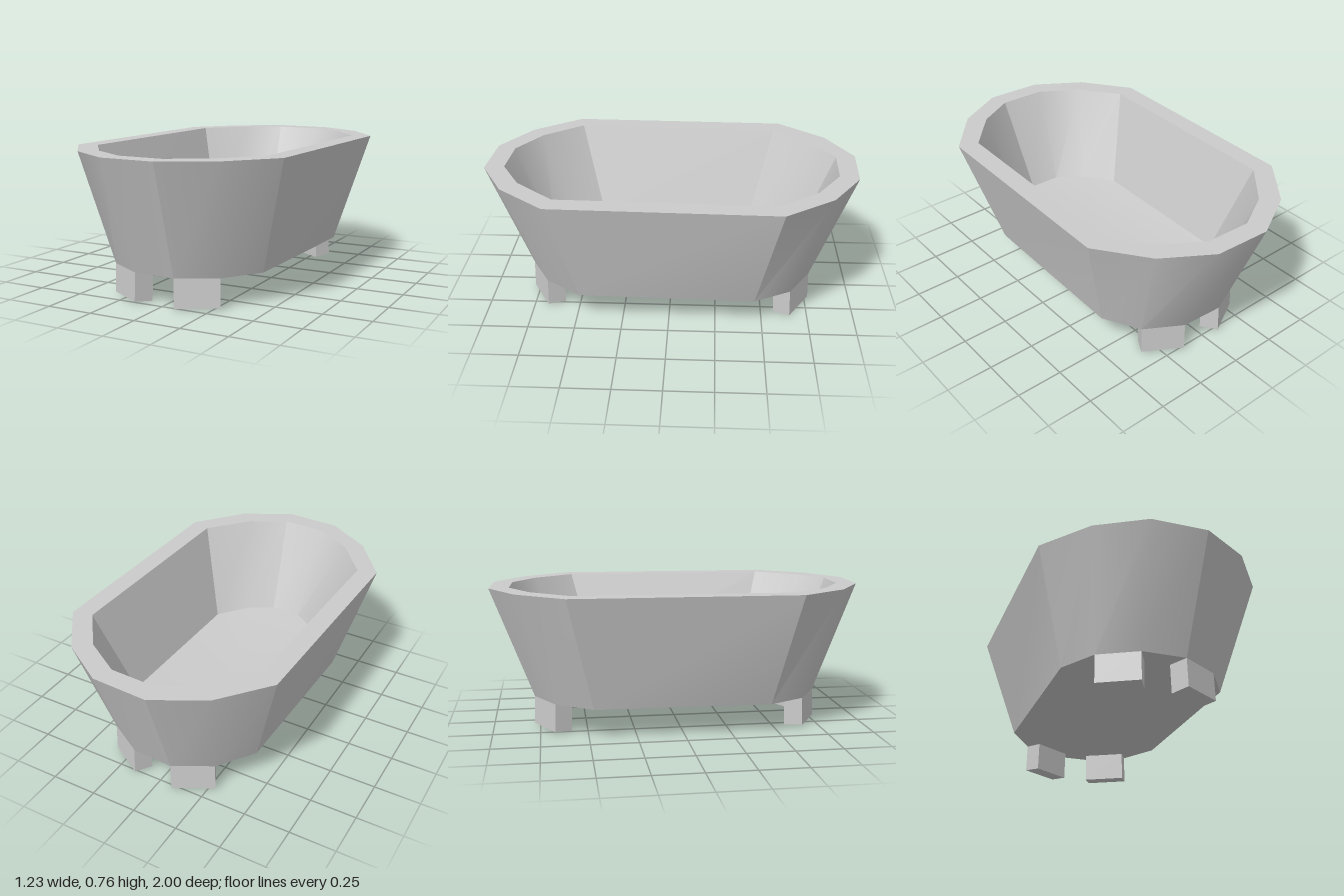
import * as THREE from 'three';
import { toCreasedNormals } from 'three/addons/utils/BufferGeometryUtils.js';

// A ring of 12 points: six [x, z] pairs, then the same six turned half a circle.
function ring(half, y) {
  const points = half.map(([x, z]) => new THREE.Vector3(x, y, z));
  return points.concat(half.map(([x, z]) => new THREE.Vector3(-x, y, -z)));
}

// Joins consecutive rings with quads; a ring with all points equal closes the surface.
function loft(rings, crease) {
  const positions = [];
  const triangle = (a, b, c) => {
    if (a.equals(b) || b.equals(c) || c.equals(a)) return;
    for (const p of [a, b, c]) positions.push(p.x, p.y, p.z);
  };
  for (let k = 0; k < rings.length - 1; k++) {
    const low = rings[k], up = rings[k + 1], n = low.length;
    for (let i = 0; i < n; i++) {
      const j = (i + 1) % n;
      triangle(low[j], low[i], up[i]);
      triangle(low[j], up[i], up[j]);
    }
  }
  const geometry = new THREE.BufferGeometry();
  geometry.setAttribute('position', new THREE.Float32BufferAttribute(positions, 3));
  geometry.computeVertexNormals();
  return toCreasedNormals(geometry, crease);
}

export function createModel() {
  const model = new THREE.Group();
  model.name = 'bathtub';
  const material = new THREE.MeshStandardMaterial({ color: 0xcccccc });
  const add = (name, geometry) => {
    const mesh = new THREE.Mesh(geometry, material);
    mesh.name = name;
    model.add(mesh);
  };

  // Half outlines, running from the front end round the right side to the back
  const rimOuter = [[0.12, 1], [-0.18, 0.985], [-0.425, 0.83], [-0.613, 0.573], [-0.588, -0.61], [-0.38, -0.86]];
  const rimInner = [[0.1, 0.895], [-0.145, 0.885], [-0.345, 0.76], [-0.508, 0.548], [-0.483, -0.577], [-0.3, -0.785]];
  const baseOuter = [[0.085, 0.777], [-0.145, 0.765], [-0.338, 0.65], [-0.443, 0.455], [-0.423, -0.475], [-0.285, -0.668]];
  const baseInner = rimInner.map(([x, z]) => [x * 0.7, z * 0.77]);
  const centre = Array(6).fill([0, 0]);

  // Thick-walled tub: underside, outer wall, rim, inner wall, sagging floor
  add('tub', loft([
    ring(centre, 0.107),
    ring(baseOuter, 0.16),
    ring(rimOuter, 0.757),
    ring(rimInner, 0.757),
    ring(baseInner, 0.255),
    ring(centre, 0.2),
  ], 0.5));

  // Legs drop from the slanted wall panels beside each end, flush with the outside
  const legSpans = {
    frontLeftLeg: [[0.285, 0.668], [0.085, 0.777]],
    frontRightLeg: [[-0.145, 0.765], [-0.338, 0.65]],
    backRightLeg: [[-0.285, -0.668], [-0.085, -0.777]],
    backLeftLeg: [[0.145, -0.765], [0.338, -0.65]],
  };
  for (const [name, [a, b]] of Object.entries(legSpans)) {
    const length = Math.hypot(b[0] - a[0], b[1] - a[1]);
    const inX = -(b[1] - a[1]) / length, inZ = (b[0] - a[0]) / length;
    const sign = inX * a[0] + inZ * a[1] < 0 ? 1 : -1;
    const section = (yOuter, yInner, shift) => {
      const at = ([x, z], depth, y) =>
        new THREE.Vector3(x + sign * inX * depth, y, z + sign * inZ * depth);
      const points = [at(a, shift, yOuter), at(b, shift, yOuter),
        at(b, shift + 0.1, yInner), at(a, shift + 0.1, yInner)];
      // Keep the same turning direction for every leg
      return sign * (inX * inX + inZ * inZ) > 0 && isReversed(points) ? points.reverse()
        : isReversed(points) ? points.reverse() : points;
    };
    const bottom = section(0.01, 0, -0.005);
    const top = section(0.16, 0.155, 0);
    const cap = (points) => {
      const c = new THREE.Vector3();
      points.forEach((p) => c.addScaledVector(p, 0.25));
      return points.map(() => c);
    };
    add(name, loft([cap(bottom), bottom, top, cap(top)], 0.3));
  }
  return model;
}

// True when an outline turns the opposite way from the tub's rings
function isReversed(points) {
  let area = 0;
  points.forEach((p, i) => {
    const q = points[(i + 1) % points.length];
    area += p.x * q.z - q.x * p.z;
  });
  return area < 0;
}
